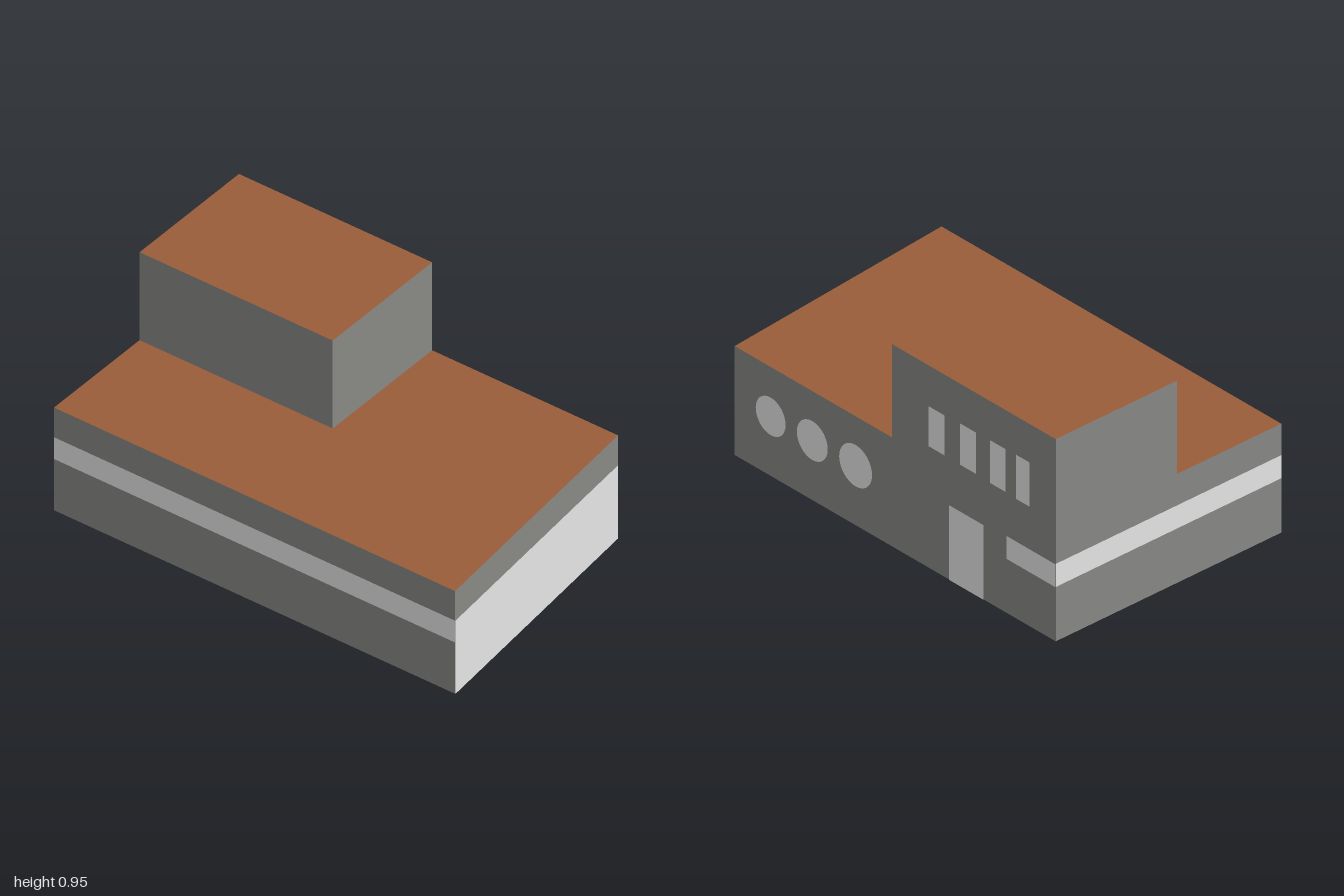
import * as THREE from 'three';

const mat = (name, color) => {
  const m = new THREE.MeshStandardMaterial({ color });
  m.name = name;
  return m;
};

export function createModel() {
  const group = new THREE.Group();
  const wall = mat('wallGrey', 0x888885);
  const glass = mat('paleGlass', 0xe5e5e5);
  const roof = mat('roofBrown', 0x9a5d39);
  const floor = mat('floorGrey', 0xcdcdcd);
  const W = 0.605, GAP = 0.001;

  const add = (name, geometry, material, x = 0, y = 0, z = 0, ry = 0) => {
    const mesh = new THREE.Mesh(geometry, material);
    mesh.name = name;
    mesh.position.set(x, y, z);
    mesh.rotation.y = ry;
    group.add(mesh);
    return mesh;
  };
  const outline = (plan) => new THREE.Shape(plan.map(([x, z]) => new THREE.Vector2(x, -z)));

  // Upright block on a plan outline of [x, z] points: brown cap, grey sides
  const block = (name, plan, y0, y1) => {
    const body = new THREE.ExtrudeGeometry(outline(plan), { depth: y1 - y0, bevelEnabled: false });
    add(name, body.rotateX(-Math.PI / 2), [roof, wall], 0, y0, 0);
  };
  // Main hall with a slanted front, and the upper storey at the back
  const hallPlan = [[-W, 1], [W, 0.89], [W, -1], [-W, -1]];
  block('hall', hallPlan, GAP, 0.51);
  block('upperStorey', [[-0.045, -0.037], [W, -0.037], [W, -1], [-0.045, -1]], 0.51, 0.946);

  // Pale underside, mirrored so that it faces down
  const under = outline(hallPlan.map(([x, z]) => [x, -z]));
  add('floor', new THREE.ShapeGeometry(under).rotateX(Math.PI / 2), floor);

  // Glazed front, following the slanted wall
  const slant = Math.atan2(0.11, 2 * W);
  add('frontGlazing', new THREE.PlaneGeometry(Math.hypot(2 * W, 0.11), 0.363), glass,
    0, 0.1815, 0.945 + GAP, slant);

  // Window band along the back and the plain side
  const bandY = 0.31, bandH = 0.108;
  add('backBand', new THREE.PlaneGeometry(2 * W, bandH), glass, 0, bandY, -1 - GAP, Math.PI);
  add('sideBand', new THREE.PlaneGeometry(2, bandH), glass, -W - GAP, bandY, 0, -Math.PI / 2);

  // Rectangular openings on the entrance side: z range, y range
  const opening = (name, z0, z1, y0, y1) =>
    add(name, new THREE.PlaneGeometry(z0 - z1, y1 - y0), glass,
      W + GAP, (y0 + y1) / 2, (z0 + z1) / 2, Math.PI / 2);
  opening('cornerBand', -0.711, -1, 0.254, 0.361);
  opening('door', -0.373, -0.577, 0, 0.349);
  [
    [-0.251, -0.347, 0.569, 0.756],
    [-0.437, -0.533, 0.568, 0.761],
    [-0.614, -0.705, 0.564, 0.764],
    [-0.766, -0.846, 0.56, 0.767],
  ].forEach((w, i) => opening('upperWindow' + (i + 1), ...w));

  // Round windows on the entrance side: z, radius
  [[0.677, 0.088], [0.432, 0.091], [0.177, 0.097]].forEach(([z, r], i) =>
    add('roundWindow' + (i + 1), new THREE.CircleGeometry(r, 32), glass,
      W + GAP, 0.28, z, Math.PI / 2));

  return group;
}
